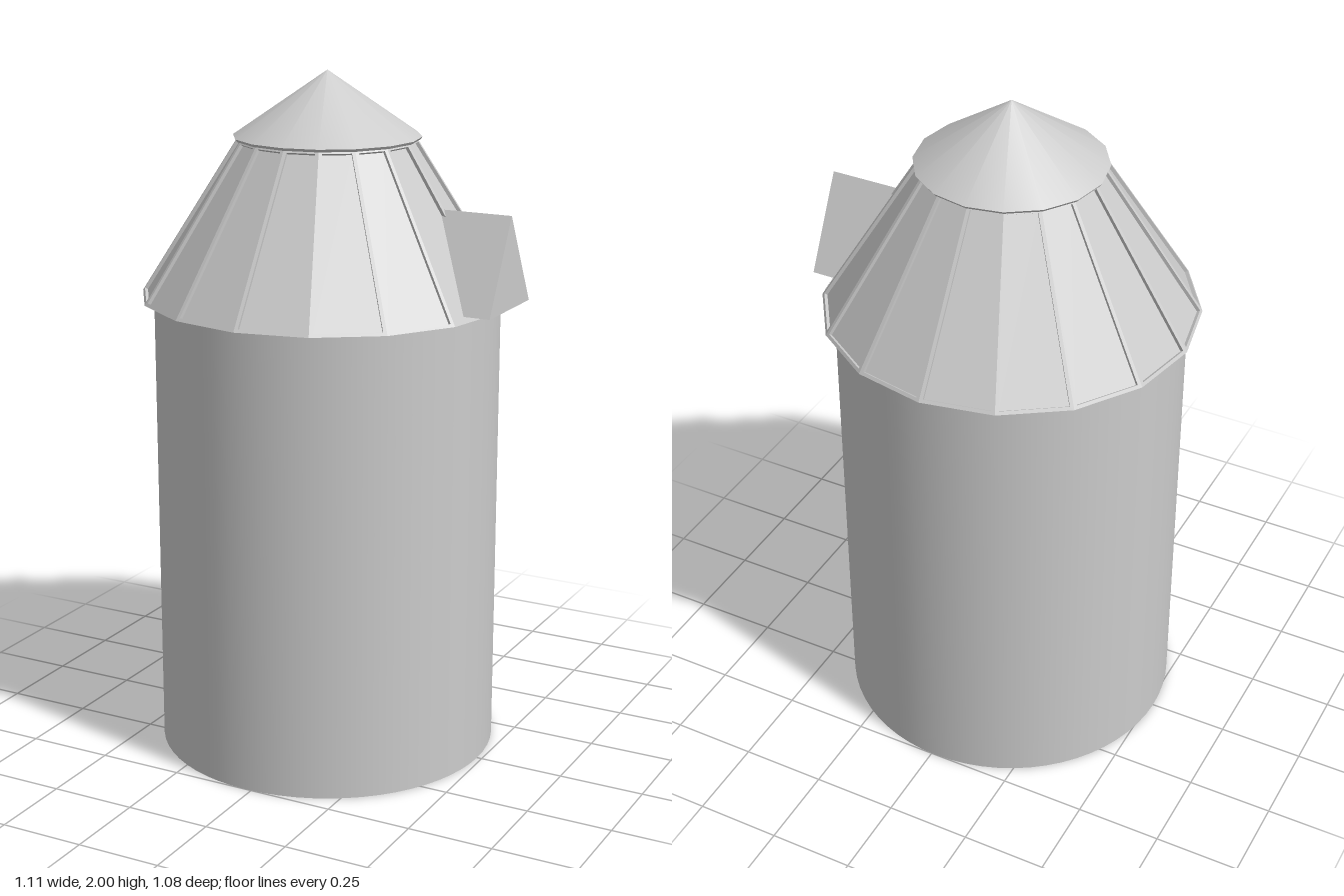
import * as THREE from 'three';

const SIDES = 16;
const material = new THREE.MeshStandardMaterial({ color: 0xcccccc });
const flat = new THREE.MeshStandardMaterial({ color: 0xcccccc, flatShading: true, side: THREE.DoubleSide });

function add(group, name, geometry, mat, x = 0, y = 0, z = 0) {
  const mesh = new THREE.Mesh(geometry, mat);
  mesh.name = name;
  mesh.position.set(x, y, z);
  group.add(mesh);
  return mesh;
}

// Sixteen roof faces, each a raised frame around a recessed panel
function panelledRoof(rBottom, rTop, yBottom, yTop, inset, depth) {
  const pos = [];
  const quad = (a, b, c, d) => [a, b, c, a, c, d].forEach(p => pos.push(p.x, p.y, p.z));
  const ring = (r, y, k) => {
    const a = (k / SIDES) * Math.PI * 2;
    return new THREE.Vector3(r * Math.sin(a), y, r * Math.cos(a));
  };
  for (let k = 0; k < SIDES; k++) {
    const outer = [ring(rBottom, yBottom, k), ring(rBottom, yBottom, k + 1),
      ring(rTop, yTop, k + 1), ring(rTop, yTop, k)];
    const normal = outer[1].clone().sub(outer[0]).cross(outer[3].clone().sub(outer[0])).normalize();
    // Offset the two edges meeting at each corner to get the frame's inner corner
    const inner = outer.map((p, i) => {
      const next = outer[(i + 1) % 4].clone().sub(p).normalize();
      const prev = outer[(i + 3) % 4].clone().sub(p).normalize();
      const sin = next.clone().cross(prev).length();
      return p.clone().addScaledVector(next.add(prev), inset / sin);
    });
    const panel = inner.map(p => p.clone().addScaledVector(normal, -depth));
    for (let i = 0; i < 4; i++) {
      const j = (i + 1) % 4;
      quad(outer[i], outer[j], inner[j], inner[i]);
      quad(inner[i], inner[j], panel[j], panel[i]);
    }
    quad(...panel);
  }
  const geometry = new THREE.BufferGeometry();
  geometry.setAttribute('position', new THREE.Float32BufferAttribute(pos, 3));
  geometry.computeVertexNormals();
  return geometry;
}

export function createModel() {
  const model = new THREE.Group();
  model.name = 'silo';
  const tower = new THREE.Group();
  tower.name = 'tower';
  tower.position.x = -0.015;
  model.add(tower);

  // Cylindrical body
  add(tower, 'body', new THREE.CylinderGeometry(0.5, 0.5, 1.36, 64), material, 0, 0.68);

  // Roof panels with ribs, and the flat underside of the eave
  add(tower, 'roofPanels', panelledRoof(0.54, 0.255, 1.357, 1.81, 0.01, 0.01), flat);
  const eave = add(tower, 'eaveUnderside', new THREE.RingGeometry(0.48, 0.54, SIDES), flat, 0, 1.357);
  eave.rotation.x = Math.PI / 2;

  // Cone cap, closed below
  add(tower, 'cap', new THREE.ConeGeometry(0.27, 0.185, SIDES), material, 0, 1.9075);
  add(tower, 'capRim', new THREE.CylinderGeometry(0.27, 0.264, 0.008, SIDES), flat, 0, 1.811);

  // Gabled dormer running out along +x, its inner end hidden in the roof
  const gable = new THREE.Shape([
    new THREE.Vector2(-0.138, 1.37), new THREE.Vector2(0.138, 1.37), new THREE.Vector2(0, 1.633),
  ]);
  const dormer = add(model, 'dormer',
    new THREE.ExtrudeGeometry(gable, { depth: 0.225, bevelEnabled: false }), flat, 0.33);
  dormer.rotation.y = Math.PI / 2;

  return model;
}
